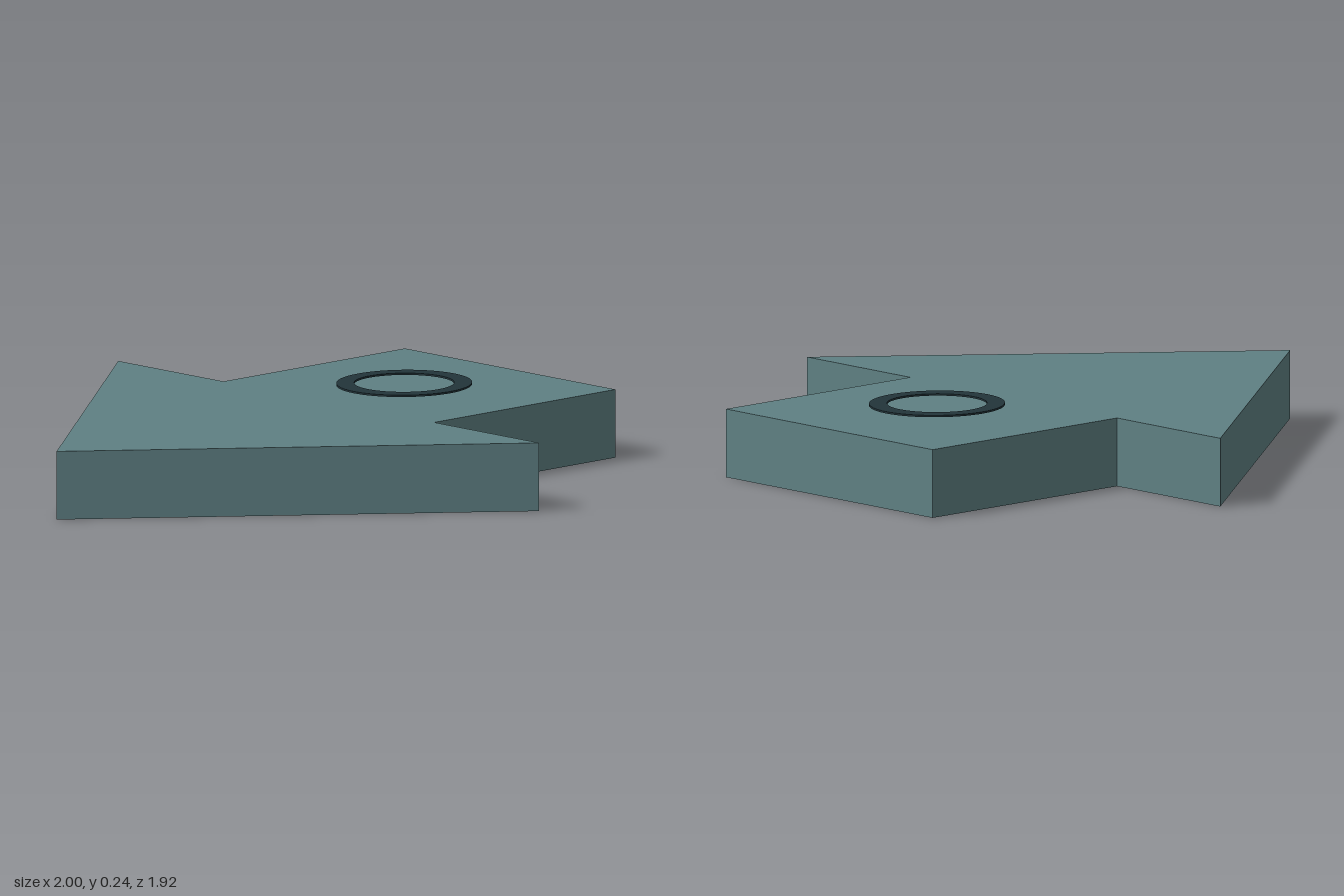
import * as THREE from 'three';

const slate = new THREE.MeshStandardMaterial({ color: 0x5f8083 });
slate.name = 'slate teal';
const dark = new THREE.MeshStandardMaterial({ color: 0x22343a });
dark.name = 'dark teal';

// Extrude a plan outline upwards from height y
function slab(name, shape, height, y, material) {
  const geometry = new THREE.ExtrudeGeometry(shape, { depth: height, bevelEnabled: false, curveSegments: 48 });
  geometry.rotateX(-Math.PI / 2);
  const mesh = new THREE.Mesh(geometry, material);
  mesh.name = name;
  mesh.position.y = y;
  return mesh;
}

export function createModel() {
  const group = new THREE.Group();
  group.name = 'arrowSign';

  // Arrow body pointing to -x
  const outline = [[-1, 0], [0.2, -0.96], [0.2, -0.48], [1, -0.48], [1, 0.48], [0.2, 0.48], [0.2, 0.96]];
  const arrow = new THREE.Shape(outline.map(([x, y]) => new THREE.Vector2(x, y)));
  group.add(slab('arrowBody', arrow, 0.22, 0, slate));

  // Thin ring hovering just above the shaft
  const ring = new THREE.Shape();
  ring.absellipse(0, 0, 0.22, 0.21, 0, Math.PI * 2, false);
  const hole = new THREE.Path();
  hole.absellipse(0, 0, 0.16, 0.157, 0, Math.PI * 2, true);
  ring.holes.push(hole);
  const ringMesh = slab('ring', ring, 0.006, 0.236, dark);
  ringMesh.position.x = 0.52;
  ringMesh.position.z = 0.013;
  group.add(ringMesh);

  return group;
}
